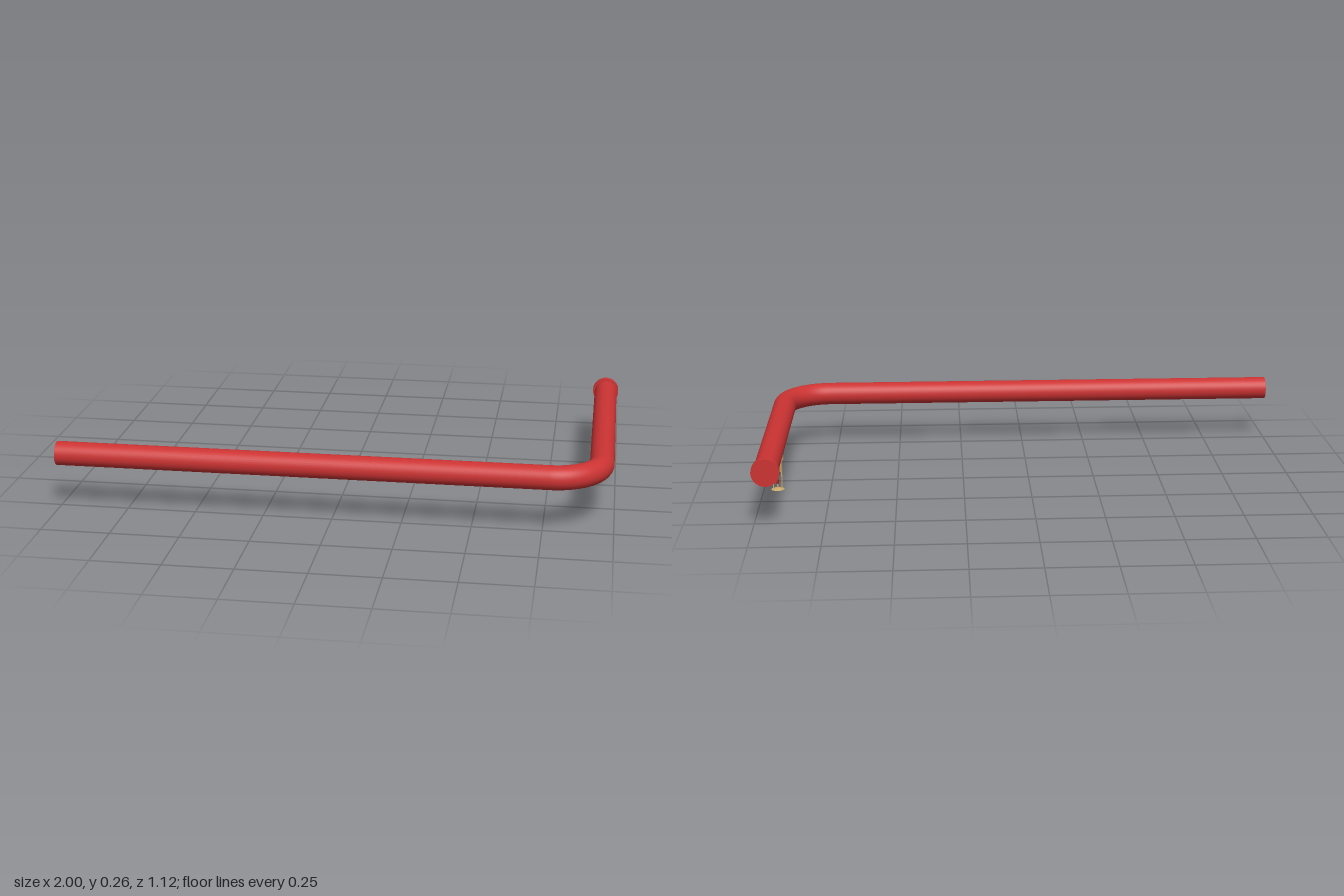
import * as THREE from 'three';

const R = 0.0435;        // pipe radius
const Y = 0.206;         // pipe centre height
const PX = 0.949;        // centre line of the short run
const PZ = 0.517;        // centre line of the long run
const BEND = 0.175;      // elbow radius
const END_Z = -0.536;    // start of the end cap

export function createModel() {
  const model = new THREE.Group();
  model.name = 'sprinklerPipe';

  const red = new THREE.MeshStandardMaterial({ color: 0xcc3333, side: THREE.DoubleSide });
  red.name = 'red paint';
  const brass = new THREE.MeshStandardMaterial({ color: 0xc8a96b });
  brass.name = 'brass';
  const bulbRed = new THREE.MeshStandardMaterial({ color: 0xb02525 });
  bulbRed.name = 'bulb red';

  const add = (parent, name, geometry, material, x = 0, y = 0, z = 0) => {
    const mesh = new THREE.Mesh(geometry, material);
    mesh.name = name;
    mesh.position.set(x, y, z);
    parent.add(mesh);
    return mesh;
  };

  // Long run along x, open at its far end
  const longLength = PX - BEND + 1;
  add(model, 'longPipe', new THREE.CylinderGeometry(R, R, longLength, 40, 1, true), red,
    -1 + longLength / 2, Y, PZ).rotation.z = Math.PI / 2;

  // Quarter-turn elbow
  add(model, 'elbow', new THREE.TorusGeometry(BEND, R, 40, 24, Math.PI / 2), red,
    PX - BEND, Y, PZ - BEND).rotation.x = Math.PI / 2;

  // Short run along z
  const startZ = PZ - BEND;
  add(model, 'shortPipe', new THREE.CylinderGeometry(R, R, startZ - END_Z, 40, 1, true), red,
    PX, Y, (startZ + END_Z) / 2).rotation.x = Math.PI / 2;

  // Closed end cap
  add(model, 'endCap', new THREE.CylinderGeometry(0.05, 0.05, 0.025, 40), red,
    PX, Y, END_Z - 0.0125).rotation.x = Math.PI / 2;

  // Hanging sprinkler head
  const head = new THREE.Group();
  head.name = 'sprinklerHead';
  head.position.set(PX, 0, -0.1);
  model.add(head);

  add(head, 'fitting', new THREE.CylinderGeometry(0.025, 0.025, 0.055, 32), brass, 0, 0.1425);
  add(head, 'headBody', new THREE.CylinderGeometry(0.0195, 0.0195, 0.045, 32), brass, 0, 0.0935);
  for (const side of [-1, 1]) {
    add(head, 'frameArm', new THREE.BoxGeometry(0.004, 0.07, 0.004), brass, side * 0.0165, 0.038);
  }
  add(head, 'glassBulb', new THREE.CylinderGeometry(0.0045, 0.0045, 0.05, 16), bulbRed, 0, 0.046);
  add(head, 'bulbSeat', new THREE.CylinderGeometry(0.003, 0.003, 0.02, 12), brass, 0, 0.013);
  add(head, 'deflector', new THREE.CylinderGeometry(0.006, 0.025, 0.007, 32), brass, 0, 0.0035);

  return model;
}
